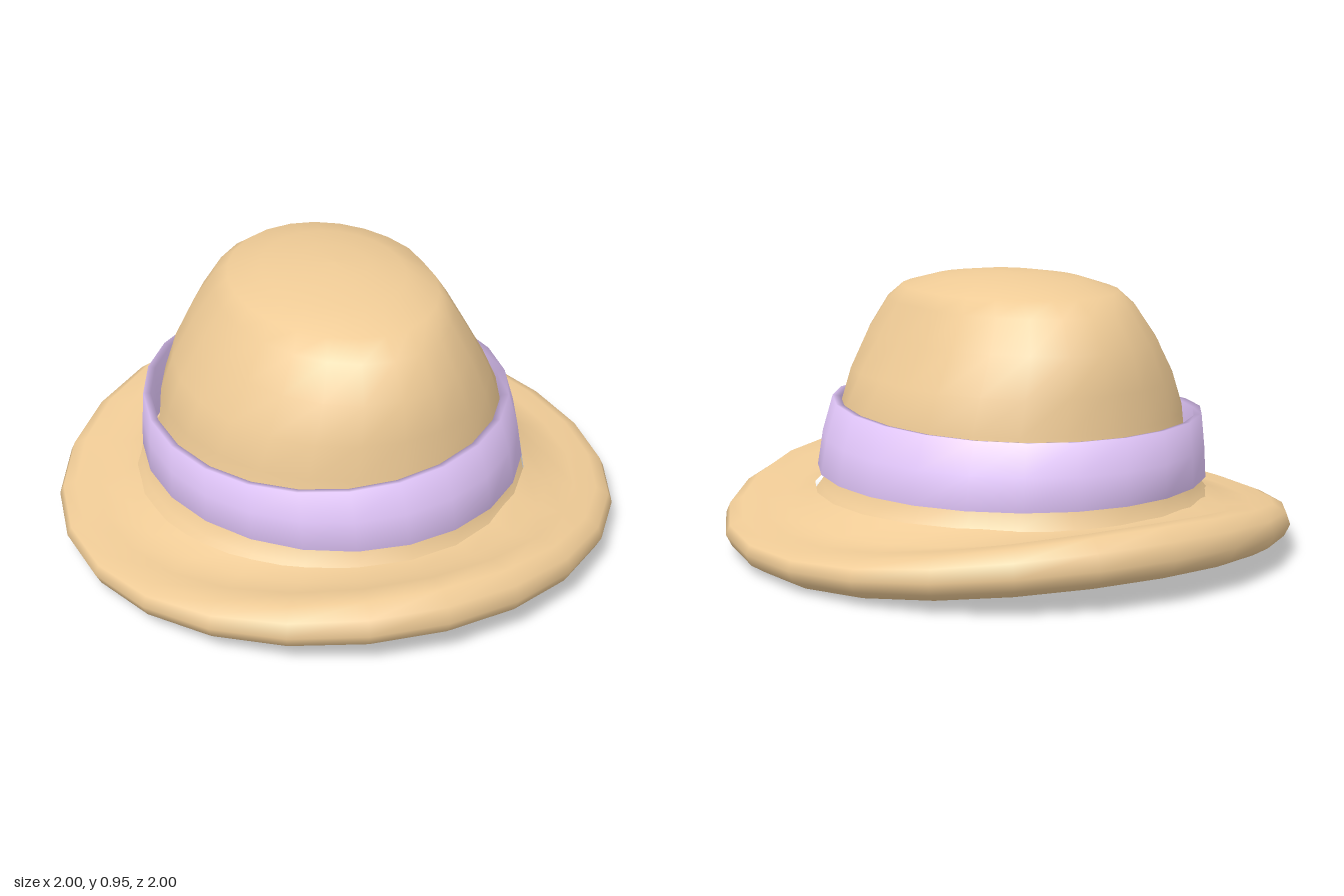
import * as THREE from 'three';

const SIDES = 24;

// Skin a stack of closed rings. place(row, phi) gives [u, y, v], where u is the
// hat's long axis (between +x and +z) and v its short axis (between +x and -z).
function loft(rows, place, closed = false) {
  const positions = [], index = [];
  for (const row of rows) {
    for (let j = 0; j < SIDES; j++) {
      const [u, y, v] = place(row, Math.PI / 4 + (j / SIDES) * Math.PI * 2);
      positions.push((u + v) * Math.SQRT1_2, y, (u - v) * Math.SQRT1_2);
    }
  }
  const strips = closed ? rows.length : rows.length - 1;
  for (let i = 0; i < strips; i++) {
    for (let j = 0; j < SIDES; j++) {
      const k = (j + 1) % SIDES, n = (i + 1) % rows.length;
      const a = i * SIDES + j, b = i * SIDES + k;
      const c = n * SIDES + k, d = n * SIDES + j;
      index.push(a, b, c, a, c, d);
    }
  }
  const geometry = new THREE.BufferGeometry();
  geometry.setAttribute('position', new THREE.Float32BufferAttribute(positions, 3));
  geometry.setIndex(index);
  geometry.computeVertexNormals();
  return geometry;
}

export function createModel() {
  const hat = new THREE.Group();
  hat.name = 'hat';
  const felt = new THREE.MeshStandardMaterial({ color: 0xefcb96 });
  const ribbon = new THREE.MeshStandardMaterial({ color: 0xe6caff });
  const add = (name, geometry, material) => {
    const mesh = new THREE.Mesh(geometry, material);
    mesh.name = name;
    hat.add(mesh);
  };

  // Brim: [radius, height, extra height at both ends of the long axis],
  // from the middle of the hollow underside round the rolled edge to the crown
  const brimRows = [
    [0, 0.165, 0], [0.3, 0.155, 0.005], [0.55, 0.11, 0.03], [0.72, 0.055, 0.055],
    [0.85, 0.015, 0.07], [0.93, 0, 0.08], [0.98, 0.03, 0.08], [1, 0.07, 0.083],
    [0.985, 0.1, 0.107], [0.94, 0.117, 0.128], [0.86, 0.12, 0.115], [0.77, 0.14, 0.05],
    [0.68, 0.2, 0],
  ];
  add('brim', loft(brimRows, ([r, y, lift], phi) => [
    1.01 * r * Math.cos(phi),
    y + lift * Math.abs(Math.cos(phi)) ** 2.2,
    0.985 * r * Math.sin(phi),
  ]), felt);

  // Crown: [height, half length, half width], pressed flat on one side
  const crownRows = [
    [0.16, 0.74, 0.665], [0.2, 0.71, 0.635], [0.28, 0.67, 0.575], [0.48, 0.64, 0.56],
    [0.6, 0.635, 0.515], [0.73, 0.605, 0.445], [0.84, 0.535, 0.375], [0.89, 0.455, 0.33],
    [0.925, 0.3, 0.23], [0.943, 0.14, 0.11], [0.946, 0, 0],
  ];
  add('crown', loft(crownRows, ([y, a, b], phi) => {
    const side = b * Math.sin(phi);
    const press = 0.345 + (0.85 - y) * 0.56;
    return [a * Math.cos(phi), y, side > 0 ? Math.min(side, press) : 1.08 * side];
  }), felt);

  // Hat band: a soft thick ring with a level lower edge and a wavy upper edge.
  // t runs from the lower edge (0) to the upper edge (1).
  const bandTop = (phi) => {
    const t = Math.PI / 4 - phi;
    return 0.4775 + 0.015 * Math.cos(t) - 0.01 * Math.sin(t) + 0.0125 * Math.cos(2 * t);
  };
  const bandRows = [
    { a: 0.685, b: 0.63, shift: -0.012, t: 0 },
    { a: 0.722, b: 0.665, shift: -0.012, t: 0 },
    { a: 0.71, b: 0.652, shift: -0.02, t: 0.5 },
    { a: 0.685, b: 0.63, shift: -0.035, t: 1 },
    { a: 0.66, b: 0.603, shift: -0.036, t: 0.98 },
  ];
  add('hatBand', loft(bandRows, ({ a, b, shift, t }, phi) => [
    a * Math.cos(phi) - 0.008,
    0.26 + t * (bandTop(phi) - 0.26),
    b * Math.sin(phi) + shift,
  ], true), ribbon);

  return hat;
}
